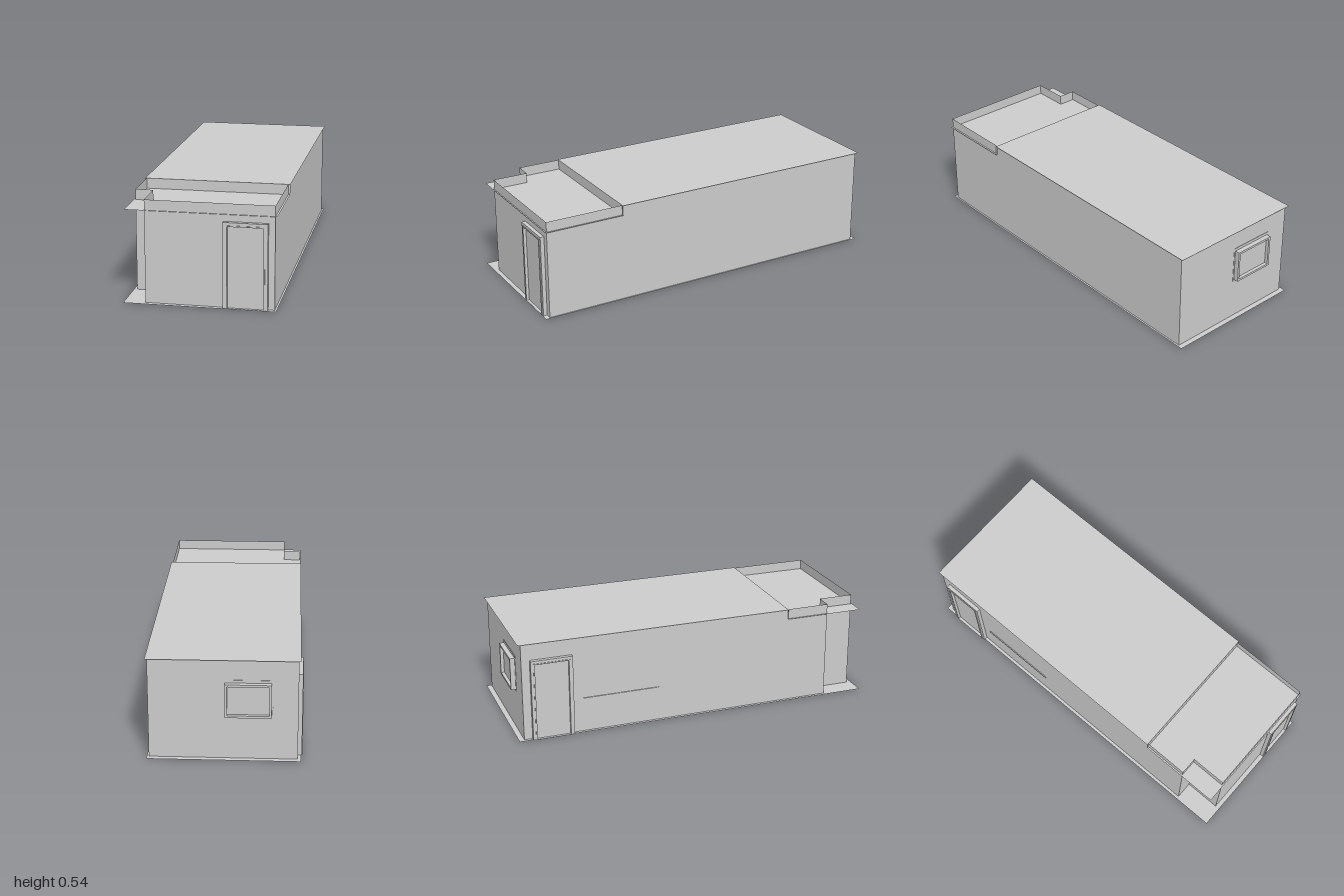
import * as THREE from 'three';

const material = new THREE.MeshStandardMaterial({ color: 0xcccccc, side: THREE.DoubleSide, flatShading: true });

const WALL = { left: 0.385, right: -0.372, front: 0.975, back: -0.971, height: 0.54 };
const LOW_ROOF = 0.485, STEP_Z = 0.54;

function part(name, geometry, parent, x = 0, y = 0, z = 0) {
  const mesh = new THREE.Mesh(geometry, material);
  mesh.name = name;
  mesh.position.set(x, y, z);
  parent.add(mesh);
  return mesh;
}

// Thin horizontal sheet given by its x and z limits
function sheet(name, parent, x0, x1, z0, z1, y) {
  const geometry = new THREE.PlaneGeometry(x1 - x0, z1 - z0).rotateX(-Math.PI / 2);
  return part(name, geometry, parent, (x0 + x1) / 2, y, (z0 + z1) / 2);
}

function rectangle(PathType, x0, x1, y0, y1) {
  return new PathType([[x0, y0], [x1, y0], [x1, y1], [x0, y1]].map(([x, y]) => new THREE.Vector2(x, y)));
}

// Rectangular ring; outer and inner are [x0, x1, y0, y1]
function frame(outer, inner, depth) {
  const shape = rectangle(THREE.Shape, ...outer);
  shape.holes.push(rectangle(THREE.Path, ...inner));
  return new THREE.ExtrudeGeometry(shape, { depth, bevelEnabled: false });
}

// Door standing on y = 0, facing +z, with its back on the wall plane
function createDoor(name) {
  const door = new THREE.Group();
  door.name = name;
  part('doorCasing', frame([-0.114, 0.114, 0, 0.448], [-0.099, 0.099, 0.001, 0.433], 0.021), door);
  part('doorTrim', frame([-0.099, 0.099, 0, 0.433], [-0.092, 0.092, 0.001, 0.427], 0.024), door);
  part('doorLeaf', new THREE.BoxGeometry(0.184, 0.427, 0.008), door, 0, 0.2135, 0.004);
  return door;
}

// Window centred on its origin, facing +z
function createWindow() {
  const group = new THREE.Group();
  group.name = 'backWindow';
  part('windowPlate', frame([-0.125, 0.125, -0.1, 0.105], [-0.11, 0.11, -0.08, 0.08], 0.002), group);
  part('windowFrame', frame([-0.118, 0.118, -0.09, 0.09], [-0.106, 0.106, -0.078, 0.078], 0.028), group);
  part('windowPane', new THREE.BoxGeometry(0.212, 0.156, 0.004), group, 0, 0, 0.008);
  return group;
}

export function createModel() {
  const model = new THREE.Group();
  model.name = 'building';

  // Outer walls, with a notch cut from the front right corner
  const walls = new THREE.Group();
  walls.name = 'walls';
  model.add(walls);
  const plan = [
    [WALL.left, WALL.front], [WALL.left, WALL.back], [WALL.right, WALL.back],
    [WALL.right, 0.78], [-0.278, 0.78], [-0.278, WALL.front],
  ];
  plan.forEach(([x0, z0], i) => {
    const [x1, z1] = plan[(i + 1) % plan.length];
    const length = Math.hypot(x1 - x0, z1 - z0);
    const wall = part('wall', new THREE.PlaneGeometry(length, WALL.height), walls,
      (x0 + x1) / 2, WALL.height / 2, (z0 + z1) / 2);
    wall.rotation.y = Math.atan2(z0 - z1, x1 - x0);
  });

  // Floor and stepped roof reach slightly past the walls
  sheet('floor', model, -0.389, 0.395, -1, 1, 0);
  sheet('upperRoof', model, -0.381, 0.395, -0.987, STEP_Z, WALL.height);
  sheet('lowerRoof', model, -0.381, 0.395, STEP_Z, 0.982, LOW_ROOF);
  part('roofStep', new THREE.PlaneGeometry(0.776, WALL.height - LOW_ROOF), model,
    0.007, (WALL.height + LOW_ROOF) / 2, STEP_Z);

  // Doors
  const frontDoor = createDoor('frontDoor');
  frontDoor.position.set(0.238, 0, WALL.front);
  const sideDoor = createDoor('sideDoor');
  sideDoor.position.set(WALL.right, 0, -0.812);
  sideDoor.rotation.y = -Math.PI / 2;

  // Back window
  const backWindow = createWindow();
  backWindow.position.set(-0.12, 0.325, WALL.back);
  backWindow.rotation.y = Math.PI;
  model.add(frontDoor, sideDoor, backWindow);

  // Narrow rail on the right wall
  part('sideRail', new THREE.BoxGeometry(0.006, 0.012, 0.43), model, WALL.right - 0.002, 0.186, -0.43);

  return model;
}
